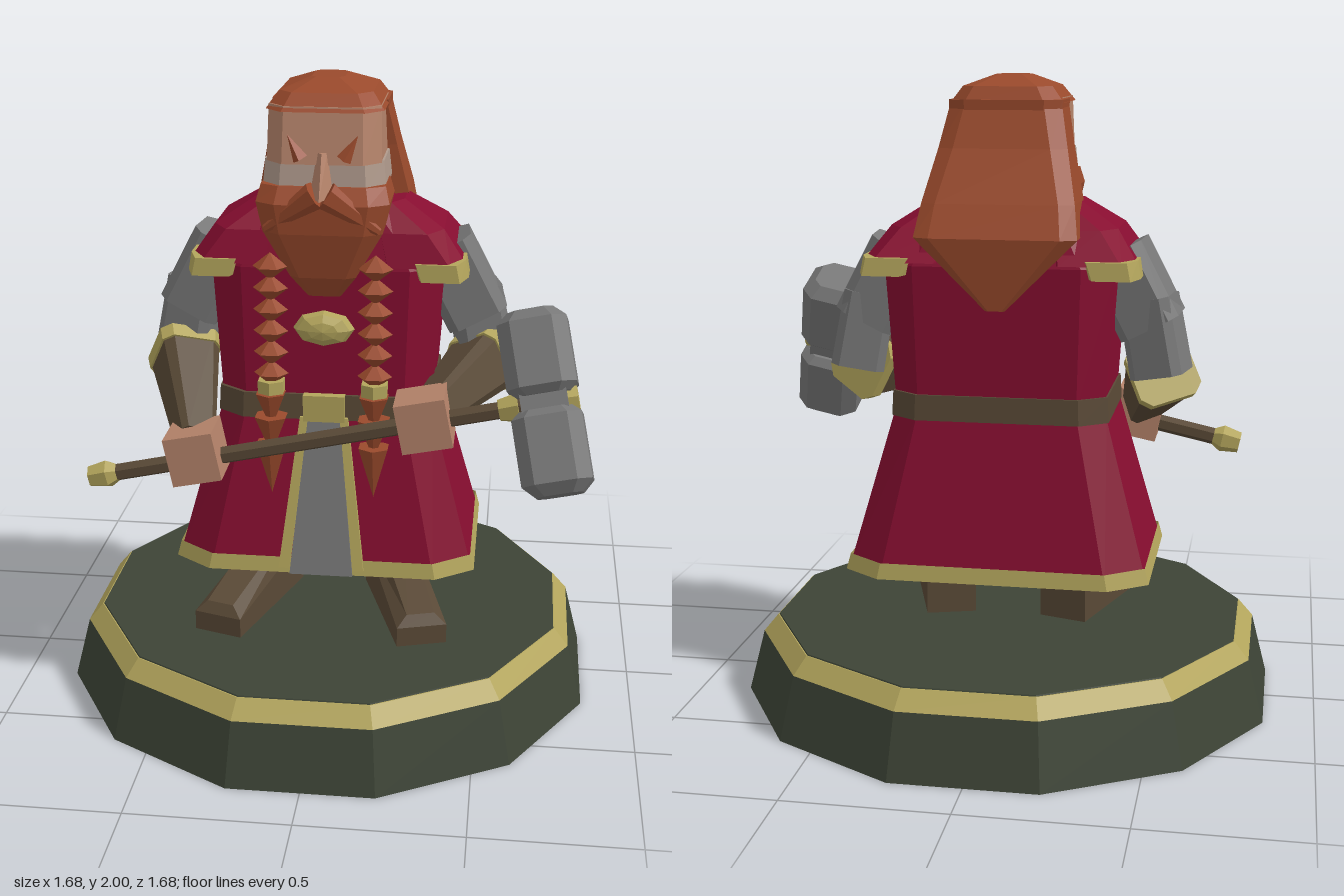
import * as THREE from 'three';

const mat = (name, color, double) => {
  const m = new THREE.MeshStandardMaterial({ color, flatShading: true });
  m.name = name;
  if (double) m.side = THREE.DoubleSide;
  return m;
};
const V = (x, y, z) => new THREE.Vector3(x, y, z);

// Chamfered rectangle ring at height y
function ring(y, x0, x1, z0, z1, c = 0.3) {
  const cx = (x1 - x0) * c * 0.5, cz = (z1 - z0) * c * 0.5;
  return [[x0 + cx, y, z1], [x1 - cx, y, z1], [x1, y, z1 - cz], [x1, y, z0 + cz],
    [x1 - cx, y, z0], [x0 + cx, y, z0], [x0, y, z0 + cz], [x0, y, z1 - cz]];
}
const sym = (y, hx, z0, z1, c) => ring(y, -hx, hx, z0, z1, c);

// Faceted skin over rings stacked from bottom to top
function loft(rings, caps = true) {
  const p = [], n = rings[0].length;
  const tri = (a, b, c) => p.push(...a, ...b, ...c);
  for (let r = 0; r < rings.length - 1; r++) {
    const a = rings[r], b = rings[r + 1];
    for (let i = 0; i < n; i++) {
      const j = (i + 1) % n;
      tri(a[i], a[j], b[j]);
      tri(a[i], b[j], b[i]);
    }
  }
  if (caps) {
    const a = rings[0], b = rings[rings.length - 1];
    for (let i = 1; i < n - 1; i++) {
      tri(a[0], a[i + 1], a[i]);
      tri(b[0], b[i], b[i + 1]);
    }
  }
  const g = new THREE.BufferGeometry();
  g.setAttribute('position', new THREE.Float32BufferAttribute(p, 3));
  g.computeVertexNormals();
  return g;
}

export function createModel() {
  const root = new THREE.Group();
  root.name = 'dwarfWarrior';
  const green = mat('darkGreen', 0x3d4436), gold = mat('gold', 0xb3a55c, true);
  const red = mat('crimson', 0x870d30, true), steel = mat('steel', 0x787878);
  const leather = mat('leather', 0x594936), skin = mat('skin', 0xb5836a);
  const hair = mat('redHair', 0x9a4a2c), pale = mat('paleSkin', 0xb09a8c);

  const add = (name, geo, m, parent = root) => {
    const mesh = new THREE.Mesh(geo, m);
    mesh.name = name;
    parent.add(mesh);
    return mesh;
  };
  // Tapered bar from a to b with half-widths r0, r1
  const bar = (name, a, b, r0, r1, m, c = 0.3) => {
    const d = b.clone().sub(a), h = d.length();
    const mesh = add(name, loft([sym(0, r0, -r0, r0, c), sym(h, r1, -r1, r1, c)]), m);
    mesh.position.copy(a);
    mesh.quaternion.setFromUnitVectors(V(0, 1, 0), d.normalize());
    return mesh;
  };
  const drum = (name, rTop, rBottom, y0, y1, m) => {
    const k = 1 / Math.cos(Math.PI / 12);
    const g = new THREE.CylinderGeometry(rTop * k, rBottom * k, y1 - y0, 12);
    add(name, g.rotateY(Math.PI / 12).translate(0, (y0 + y1) / 2, 0), m);
  };

  // Display base
  drum('base', 0.79, 0.84, 0, 0.2, green);
  drum('baseTrim', 0.745, 0.79, 0.2, 0.255, gold);
  drum('baseTop', 0.74, 0.742, 0.254, 0.259, green);

  // Coat and belt
  add('coatSkirt', loft([sym(0.47, 0.47, -0.38, 0.3, 0.25), sym(0.96, 0.335, -0.285, 0.215, 0.25)], false), red);
  add('coatHem', loft([sym(0.46, 0.48, -0.39, 0.31, 0.25), sym(0.51, 0.467, -0.382, 0.302, 0.25)], false), gold);
  add('belt', loft([sym(0.95, 0.342, -0.292, 0.222, 0.25), sym(1.03, 0.338, -0.288, 0.216, 0.25)]), leather);
  add('torso', loft([sym(1.0, 0.33, -0.28, 0.205, 0.25), sym(1.43, 0.36, -0.29, 0.2, 0.28),
    sym(1.54, 0.29, -0.25, 0.17), sym(1.64, 0.17, -0.17, 0.13)]), red);
  add('buckle', new THREE.BoxGeometry(0.13, 0.085, 0.03).translate(0, 0.99, 0.222), gold);
  add('brooch', new THREE.SphereGeometry(0.095, 8, 6).scale(1, 1, 0.6).rotateX(Math.PI / 2)
    .scale(1, 1, 0.5).translate(0, 1.25, 0.22), gold);

  // Mail apron with gold edging, laid on the sloping coat front
  const slope = (y, off) => 0.215 + (0.95 - y) * 0.18 + off;
  const strip = (xa0, xa1, xb0, xb1, ya, yb, o) => loft([
    [[xa0, ya, slope(ya, o)], [xa1, ya, slope(ya, o)], [xa1, ya, slope(ya, 0)], [xa0, ya, slope(ya, 0)]],
    [[xb0, yb, slope(yb, o)], [xb1, yb, slope(yb, o)], [xb1, yb, slope(yb, 0)], [xb0, yb, slope(yb, 0)]]]);
  add('mailApron', strip(-0.1, 0.1, -0.05, 0.05, 0.46, 0.96, 0.016), steel);
  for (const s of [-1, 1]) {
    const x = s > 0 ? [0.1, 0.135, 0.05, 0.075] : [-0.135, -0.1, -0.075, -0.05];
    add('apronEdge', strip(...x, 0.48, 0.96, 0.02), gold);
  }

  for (const s of [-1, 1]) {
    const side = (y, a, b, z0, z1, c) => ring(y, Math.min(s * a, s * b), Math.max(s * a, s * b), z0, z1, c);
    // Shoulder capes with trim
    add('shoulder', loft([side(1.44, 0.15, 0.425, -0.3, 0.2), side(1.54, 0.12, 0.355, -0.22, 0.17, 0.4),
      side(1.62, 0.08, 0.23, -0.14, 0.1, 0.5)]), red);
    add('shoulderTrim', loft([side(1.4, 0.27, 0.435, -0.315, 0.208), side(1.455, 0.25, 0.425, -0.308, 0.205)]), gold);

    // Mail sleeves
    bar('upperSleeve', V(s * 0.34, 1.46, -0.05), V(s * 0.46, 1.23, -0.055), 0.1, 0.1, steel);
    bar('lowerSleeve', V(s * 0.445, 1.32, -0.07), V(s * 0.49, 1.08, -0.075), 0.082, 0.085, steel);

    // Forearms, cuffs and hands gripping the shaft
    const elbow = V(s * 0.49, 1.08, -0.03);
    const hand = s > 0 ? V(0.32, 1.01, 0.33) : V(-0.385, 0.87, 0.33);
    const at = t => elbow.clone().lerp(hand, t);
    bar('forearm', elbow, at(0.88), 0.098, 0.055, leather);
    bar('cuff', at(-0.02), at(0.09), 0.103, 0.1, gold);
    const fist = add('hand', new THREE.BoxGeometry(0.155, 0.155, 0.16), skin);
    fist.position.copy(hand);
    fist.rotation.z = 0.2;

    // Boots, toes turned out
    const boot = add('boot', loft([
      [[-0.08, 0, 0.24], [0.08, 0, 0.24], [0.08, 0, -0.24], [-0.08, 0, -0.24]],
      [[-0.08, 0.065, 0.24], [0.08, 0.065, 0.24], [0.08, 0.15, -0.24], [-0.08, 0.15, -0.24]],
      [[-0.045, 0.1, 0.22], [0.045, 0.1, 0.22], [0.055, 0.22, -0.24], [-0.055, 0.22, -0.24]]]), leather);
    boot.position.set(s * 0.255, 0.257, 0.135);
    boot.rotation.y = s * 0.3;

    // Long braids ending in a gold bead and a pointed tail
    const spike = (y, r, h) => add('braidLink', new THREE.ConeGeometry(r, h, 6).rotateX(Math.PI)
      .translate(s * 0.16, y, 0.265), hair);
    for (let i = 0; i < 6; i++) {
      add('braidLink', new THREE.SphereGeometry(0.054, 6, 2).scale(1, 0.8, 0.9)
        .translate(s * 0.16, 1.45 - i * 0.068, 0.25), hair);
    }
    add('braidBead', new THREE.CylinderGeometry(0.045, 0.045, 0.05, 6).translate(s * 0.16, 1.065, 0.255), gold);
    spike(0.99, 0.05, 0.12);
    spike(0.91, 0.055, 0.13);
    spike(0.8, 0.052, 0.17);

    // Brows and moustache
    const brow = add('brow', new THREE.ConeGeometry(0.035, 0.08, 4), hair);
    brow.position.set(s * 0.085, 1.815, 0.25);
    brow.rotation.z = s * -0.5;
    bar('moustache', V(s * 0.015, 1.68, 0.29), V(s * 0.17, 1.57, 0.27), 0.042, 0.012, hair, 0.5);
  }

  // Head
  add('cheeks', loft([sym(1.58, 0.16, -0.1, 0.23), sym(1.69, 0.185, -0.1, 0.26), sym(1.77, 0.178, -0.1, 0.25)]), pale);
  add('face', loft([sym(1.765, 0.172, -0.1, 0.265), sym(1.93, 0.168, -0.1, 0.235)]), skin);
  const nose = add('nose', loft([
    [[-0.035, 1.675, 0.27], [0, 1.67, 0.34], [0.035, 1.675, 0.27], [0, 1.675, 0.23]],
    [[-0.015, 1.8, 0.25], [0, 1.8, 0.27], [0.015, 1.8, 0.25], [0, 1.8, 0.23]]]), skin);
  nose.position.z = 0.005;
  add('hairCap', loft([sym(1.915, 0.177, -0.145, 0.245), sym(1.965, 0.14, -0.12, 0.2),
    sym(2.0, 0.05, -0.02, 0.12)]), hair);
  add('headBackHair', loft([sym(1.76, 0.17, -0.145, 0.02), sym(1.925, 0.177, -0.145, 0.09)]), hair);
  add('longHair', loft([sym(1.3, 0.03, -0.305, -0.28), sym(1.52, 0.25, -0.33, -0.12, 0.2),
    sym(1.62, 0.235, -0.28, -0.02, 0.2), sym(1.78, 0.2, -0.19, 0.03, 0.25), sym(1.92, 0.172, -0.135, 0.09)]), hair);
  add('beard', loft([sym(1.35, 0.05, 0.17, 0.215), sym(1.42, 0.1, 0.13, 0.265), sym(1.56, 0.18, 0.05, 0.295),
    sym(1.65, 0.2, 0.03, 0.3), sym(1.7, 0.187, 0.05, 0.27)]), hair);

  // War hammer: shaft runs along local x, head along local y
  const hammer = new THREE.Group();
  hammer.name = 'hammer';
  const ex = V(0.977, 0.213, 0);
  const ey = V(-0.19, 0.87, -0.455).normalize();
  const ez = ex.clone().cross(ey).normalize();
  hammer.quaternion.setFromRotationMatrix(new THREE.Matrix4().makeBasis(ex, ez.clone().cross(ex), ez));
  hammer.position.set(0.68, 1.075, 0.33);
  root.add(hammer);
  const rod = (name, r0, r1, x0, x1, m) => add(name,
    new THREE.CylinderGeometry(r1, r0, x1 - x0, 6).rotateZ(-Math.PI / 2).translate((x0 + x1) / 2, 0, 0), m, hammer);
  rod('shaft', 0.028, 0.028, -1.42, 0.08, leather);
  rod('pommel', 0.035, 0.045, -1.44, -1.38, gold);
  rod('pommelTaper', 0.045, 0.028, -1.38, -1.35, gold);
  rod('collar', 0.035, 0.048, -0.14, -0.08, gold);
  rod('shaftCap', 0.048, 0.04, 0.06, 0.1, gold);
  add('headCore', new THREE.BoxGeometry(0.14, 0.12, 0.14), steel, hammer);
  const h = 0.105;
  const block = [[0.022, 0.08], [0.045, h], [0.245, h], [0.28, 0.07]];
  add('upperHead', loft(block.map(([y, r]) => sym(y, r, -r, r, 0.4))), steel, hammer);
  add('lowerHead', loft(block.map(([y, r]) => sym(-y, r, -r, r, 0.4)).reverse()), steel, hammer);
  return root;
}
